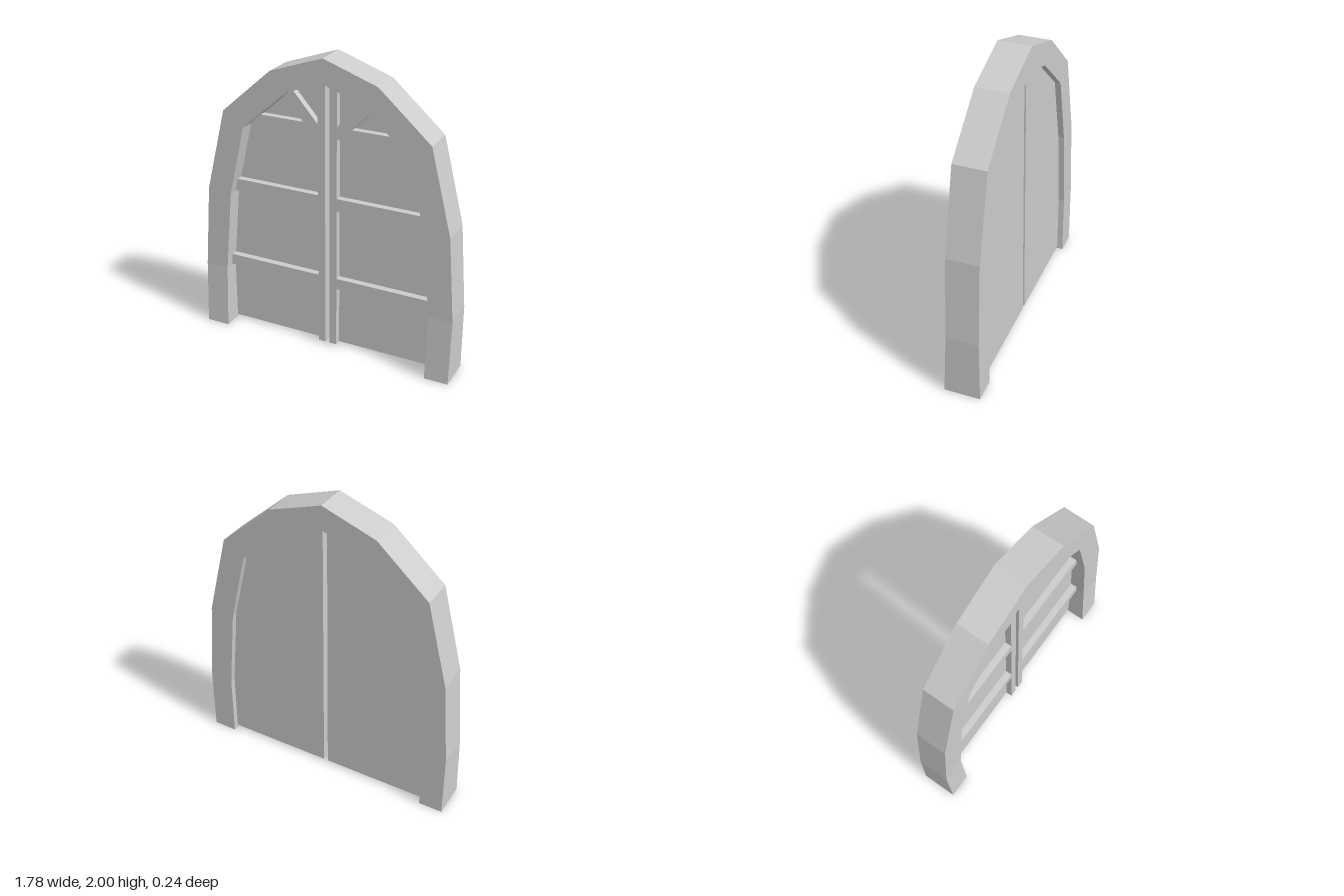
import * as THREE from 'three';

const material = new THREE.MeshStandardMaterial({ color: 0xcccccc, flatShading: true });

// Right half of the arch, bottom to top
const OUTER = [[0.89, 0], [0.89, 0.44], [0.845, 1.01], [0.705, 1.57], [0.36, 1.875], [0, 2]];
const INNER = [[0.73, 0], [0.73, 0.44], [0.677, 1.0], [0.565, 1.475], [0.24, 1.76], [0, 1.84]];
const FRAME_BACK = -0.12, FRAME_FRONT = 0.095, FOOT_FRONT = 0.12;
const DOOR_BACK = -0.08, PANEL_FRONT = -0.01, TRIM_FRONT = 0.035;
const GAP = 0.015, STILE = 0.065, DOOR_BOTTOM = 0.015;

// Half width of the opening at height y
function innerX(y) {
  for (let i = 0; i < INNER.length - 1; i++) {
    const [x0, y0] = INNER[i], [x1, y1] = INNER[i + 1];
    if (y <= y1) return x0 + (x1 - x0) * (y - y0) / (y1 - y0);
  }
  return 0;
}

// Height of the opening's crown at x (near the middle)
const crownY = (x) => 1.84 - (x / 0.24) * 0.08;

// Flat outline extruded from z0 to z1, optionally mirrored in x
function slab(name, points, z0, z1, side) {
  const shape = new THREE.Shape(points.map(([x, y]) => new THREE.Vector2(x * side, y)));
  const geometry = new THREE.ExtrudeGeometry(shape, { depth: z1 - z0, bevelEnabled: false });
  geometry.translate(0, 0, z0);
  const mesh = new THREE.Mesh(geometry, material);
  mesh.name = name;
  return mesh;
}

// Arch frame: four-cornered sections swept over the arch, feet flared forward
function archFrame() {
  const half = OUTER.map(([ox, oy], i) => {
    const [ix, iy] = INNER[i];
    const front = i === 0 ? FOOT_FRONT : FRAME_FRONT;
    return [[ox, oy, front], [ox, oy, FRAME_BACK], [ix, iy, FRAME_BACK], [ix, iy, front]];
  });
  const mirrored = half.slice(0, -1).reverse().map((s) => s.map(([x, y, z]) => [-x, y, z]));
  const sections = [...half, ...mirrored];
  const positions = [];
  const quad = (a, b, c, d) => positions.push(...a, ...b, ...c, ...a, ...c, ...d);
  for (let i = 0; i < sections.length - 1; i++) {
    const s = sections[i], t = sections[i + 1];
    for (let j = 0; j < 4; j++) {
      const k = (j + 1) % 4;
      quad(s[j], s[k], t[k], t[j]);
    }
  }
  quad(...[...sections[0]].reverse());
  quad(...sections[sections.length - 1]);
  const geometry = new THREE.BufferGeometry();
  geometry.setAttribute('position', new THREE.Float32BufferAttribute(positions, 3));
  geometry.computeVertexNormals();
  const mesh = new THREE.Mesh(geometry, material);
  mesh.name = 'archFrame';
  return mesh;
}

// One door leaf: panel, meeting stile, three rails and a diagonal brace
function door(side) {
  const group = new THREE.Group();
  group.name = side > 0 ? 'leftDoor' : 'rightDoor';

  group.add(slab('panel', [
    [GAP, DOOR_BOTTOM], [INNER[0][0], DOOR_BOTTOM], ...INNER.slice(1, -1), [GAP, crownY(GAP)],
  ], DOOR_BACK, PANEL_FRONT, side));

  group.add(slab('stile', [
    [GAP, DOOR_BOTTOM], [STILE, DOOR_BOTTOM], [STILE, crownY(STILE)], [GAP, crownY(GAP)],
  ], PANEL_FRONT, TRIM_FRONT, side));

  for (const [y0, y1] of [[0.44, 0.515], [1.0, 1.085], [1.48, 1.56]]) {
    group.add(slab('rail', [
      [STILE, y0], [innerX(y0), y0], [innerX(y1), y1], [STILE, y1],
    ], PANEL_FRONT, TRIM_FRONT, side));
  }

  group.add(slab('brace', [
    [STILE, 1.56], [0.168, 1.56], [innerX(1.705), 1.705], [0.24, 1.76],
  ], PANEL_FRONT, TRIM_FRONT, side));
  return group;
}

export function createModel() {
  const model = new THREE.Group();
  model.name = 'archedDoubleDoor';
  model.add(archFrame(), door(1), door(-1));
  return model;
}
